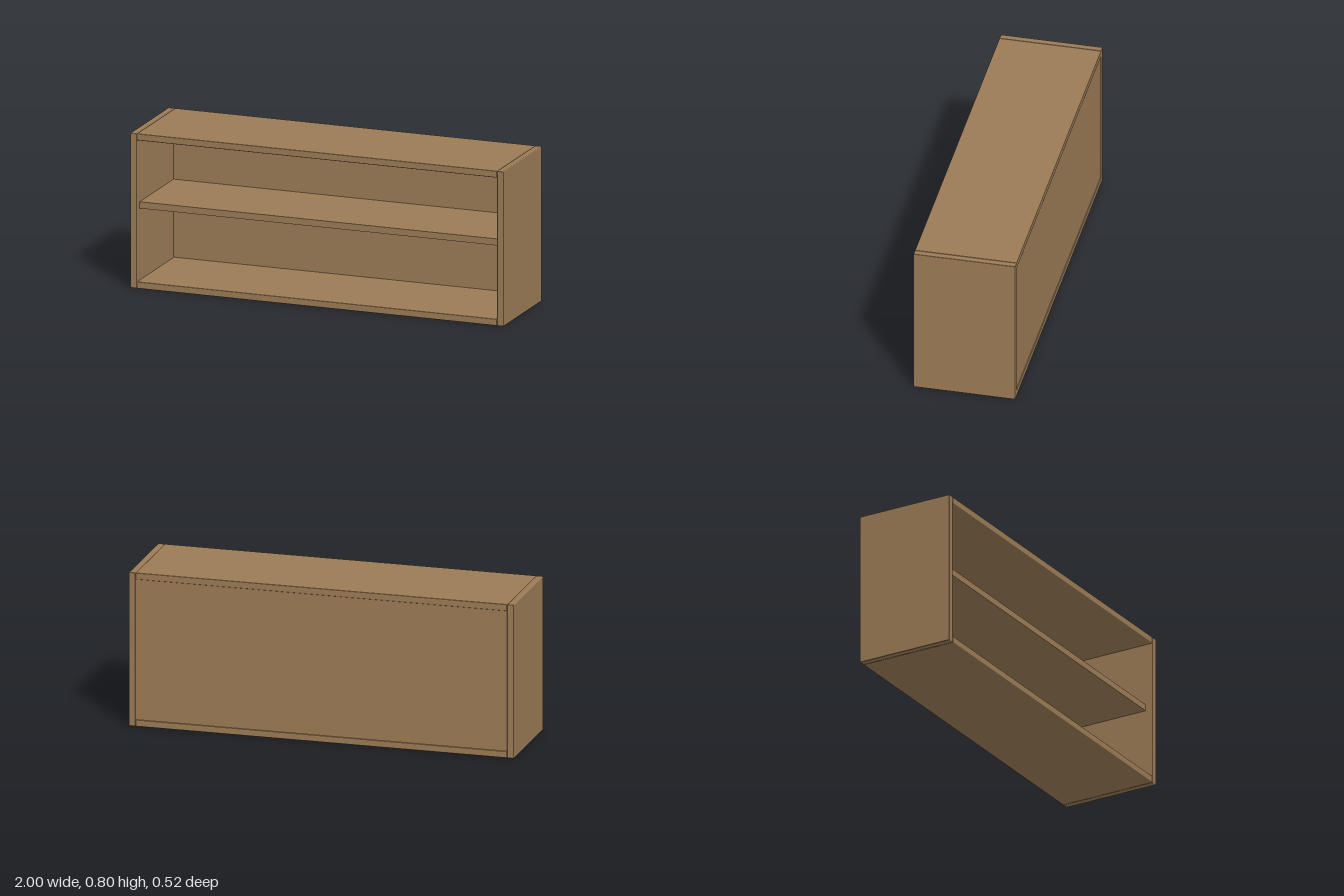
import * as THREE from 'three';
import { RoundedBoxGeometry } from 'three/addons/geometries/RoundedBoxGeometry.js';

export function createModel() {
  const group = new THREE.Group();
  group.name = 'shelfUnit';
  const wood = new THREE.MeshStandardMaterial({ color: 0x9b7b56 });
  wood.name = 'brown wood';

  const W = 2, H = 0.8, D = 0.52, T = 0.035;
  const inner = W - 2 * T;

  // Board with softly eased edges, placed by its centre
  function board(name, w, h, d, x, y, z, radius = 0.004) {
    const geometry = radius
      ? new RoundedBoxGeometry(w, h, d, 2, radius)
      : new THREE.BoxGeometry(w, h, d);
    const mesh = new THREE.Mesh(geometry, wood);
    mesh.name = name;
    mesh.position.set(x, y, z);
    group.add(mesh);
  }

  // Side panels
  for (const [name, s] of [['leftSide', 1], ['rightSide', -1]]) {
    board(name, T, H, D, s * (W - T) / 2, H / 2, 0);
  }

  // Top and bottom boards between the sides
  board('topBoard', inner, T, D, 0, H - T / 2, 0);
  board('bottomBoard', inner, T, D, 0, T / 2, 0);

  // Middle shelf, set back a little from the front
  const shelfFront = 0.22, backInner = -0.24;
  board('middleShelf', inner, 0.034, shelfFront - backInner, 0, 0.421, (shelfFront + backInner) / 2, 0);

  // Back panel, just inside the rear edges
  const backOuter = -0.256;
  board('backPanel', inner, H - 2 * T, backInner - backOuter, 0, H / 2, (backInner + backOuter) / 2, 0);

  return group;
}
